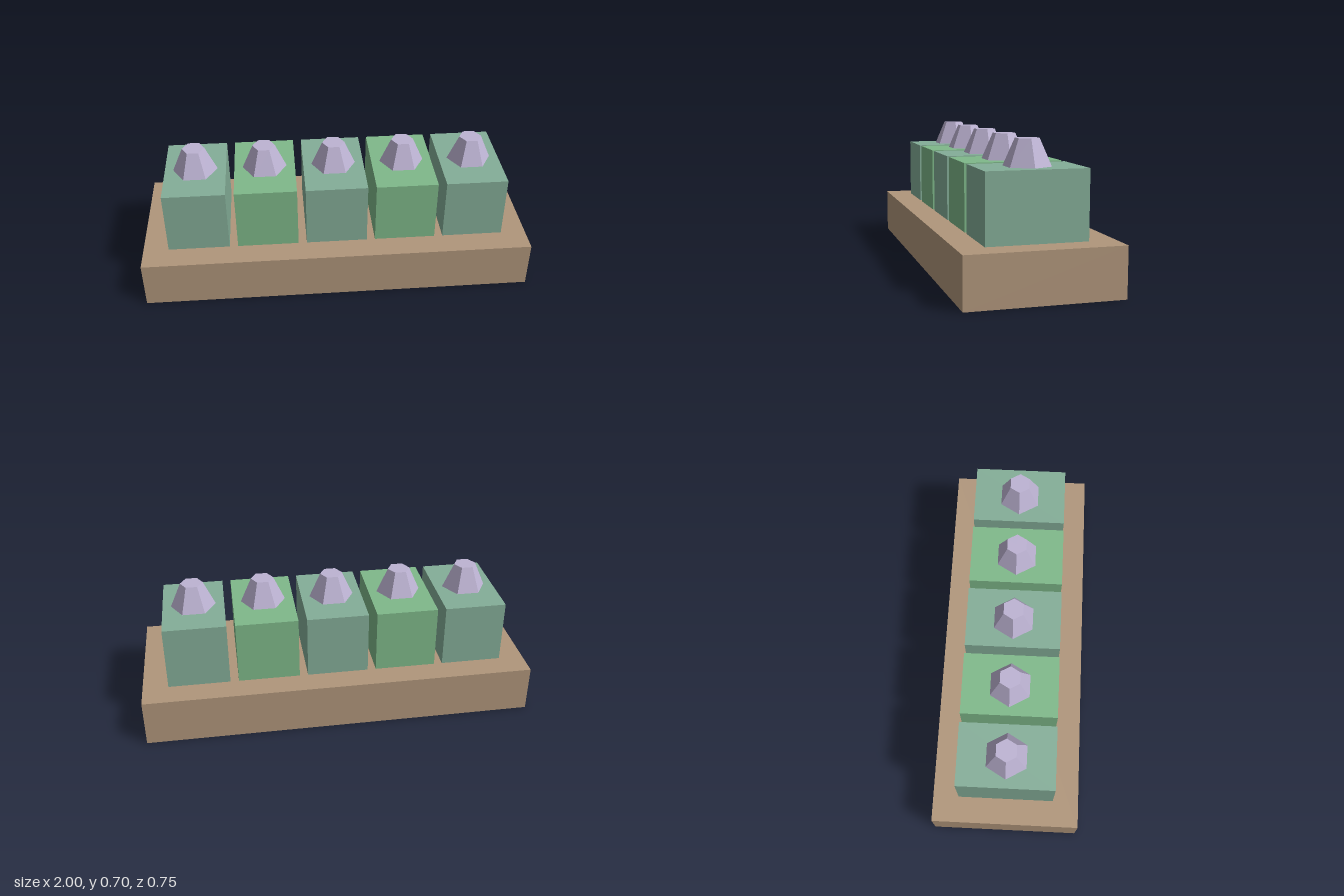
import * as THREE from 'three';

const flat = (name, color) => {
  const m = new THREE.MeshStandardMaterial({ color });
  m.name = name;
  return m;
};

export function createModel() {
  const group = new THREE.Group();
  group.name = 'blockRow';

  const wood = flat('wood', 0xb0967b);
  const sage = flat('sage green', 0x84ae98);
  const leaf = flat('leaf green', 0x7fb98a);
  const lilac = flat('lilac', 0xbdb3d3);
  lilac.flatShading = true;

  const add = (name, geometry, material, x, y) => {
    const mesh = new THREE.Mesh(geometry, material);
    mesh.name = name;
    mesh.position.set(x, y, 0);
    group.add(mesh);
  };

  // Plank underneath everything
  const baseTop = 0.243, blockTop = 0.572, top = 0.7;
  add('base', new THREE.BoxGeometry(2, baseTop, 0.746), wood, 0, baseTop / 2);

  // Alternating blocks, each with a tapered six-sided knob
  const blockH = blockTop - baseTop, knobH = top - blockTop;
  const block = new THREE.BoxGeometry(0.314, blockH, 0.484);
  const knob = new THREE.CylinderGeometry(0.057, 0.114, knobH, 6).rotateY(Math.PI / 6);
  for (let i = 0; i < 5; i++) {
    const x = (i - 2) * 0.357;
    add(`block${i + 1}`, block, i % 2 ? leaf : sage, x, baseTop + blockH / 2);
    add(`knob${i + 1}`, knob, lilac, x, blockTop + knobH / 2);
  }
  return group;
}
